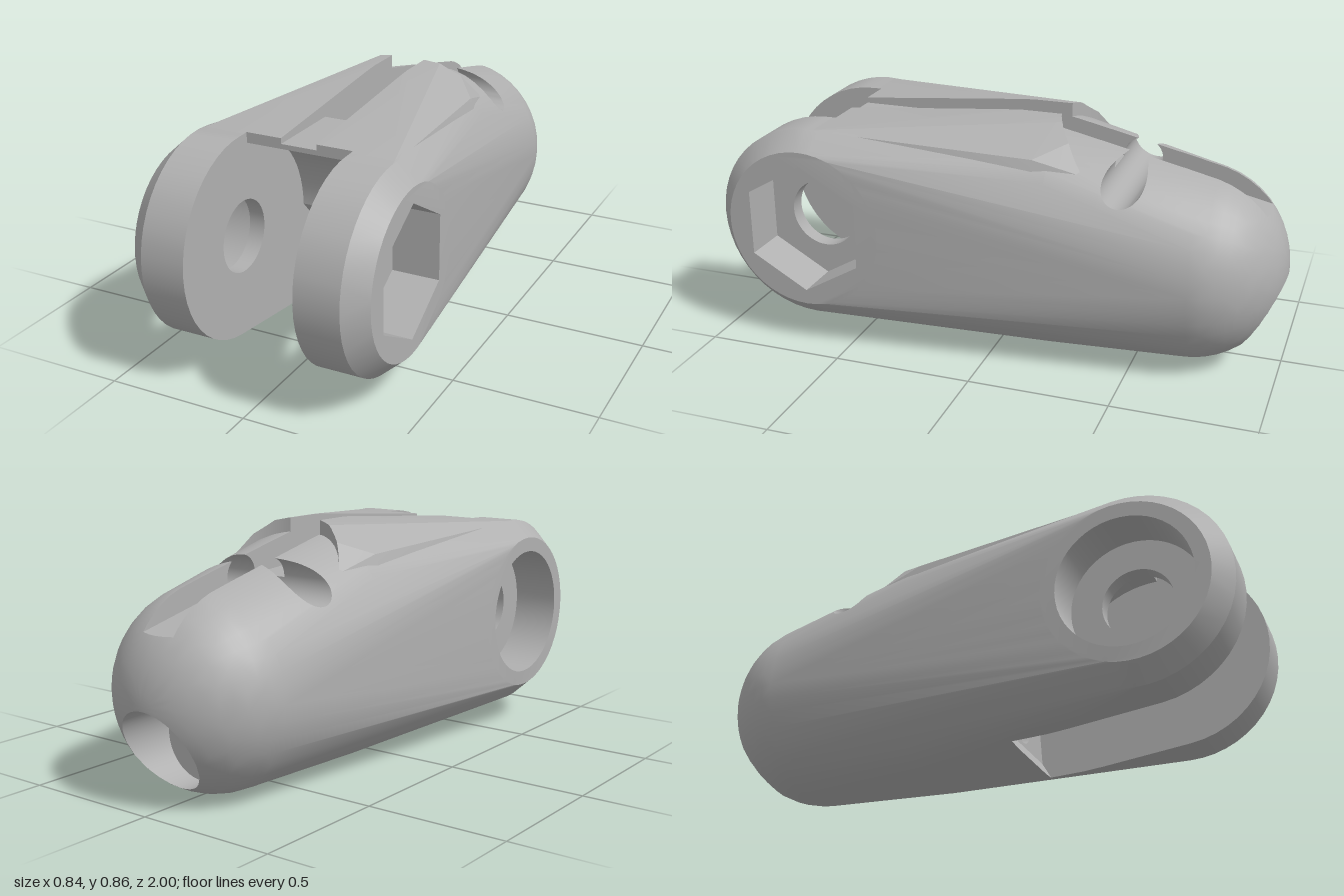
import * as THREE from 'three';
import { toCreasedNormals } from 'three/addons/utils/BufferGeometryUtils.js';
import { ConvexGeometry } from 'three/addons/geometries/ConvexGeometry.js';

const EPS = 1e-5;
const PIVOT = { y: 0.445, z: 0.65 };

// ---- convex solids: a list of polygons plus the bounding planes ----
function convexSolid(geometry, crease = 0.6) {
  const flat = geometry.index ? geometry.toNonIndexed() : geometry;
  const g = toCreasedNormals(flat, crease);
  const P = g.attributes.position, N = g.attributes.normal;
  const points = [];
  for (let i = 0; i < P.count; i++) points.push(new THREE.Vector3().fromBufferAttribute(P, i));
  const polys = [], planes = [];
  for (let i = 0; i < P.count; i += 3) {
    const tri = new THREE.Triangle(points[i], points[i + 1], points[i + 2]);
    if (tri.getArea() < 1e-8) continue;
    polys.push([0, 1, 2].map(k => ({ p: points[i + k], n: new THREE.Vector3().fromBufferAttribute(N, i + k) })));
    const plane = tri.getPlane(new THREE.Plane());
    const known = planes.some(q => q.normal.dot(plane.normal) > 0.9999999 && Math.abs(q.constant - plane.constant) < EPS);
    if (!known && points.every(p => plane.distanceToPoint(p) < 1e-4)) planes.push(plane);
  }
  return { polys, planes };
}

// Split a polygon by a plane into [outer, inner]
function split(poly, plane, coplanarInside) {
  const d = poly.map(v => plane.distanceToPoint(v.p));
  const lo = Math.min(...d), hi = Math.max(...d);
  if (lo > -EPS && hi < EPS) return coplanarInside ? [null, poly] : [poly, null];
  if (lo > -EPS) return [poly, null];
  if (hi < EPS) return [null, poly];
  const outer = [], inner = [];
  poly.forEach((a, i) => {
    const j = (i + 1) % poly.length, b = poly[j];
    if (d[i] >= 0) outer.push(a);
    if (d[i] <= 0) inner.push(a);
    if (d[i] * d[j] < 0) {
      const t = d[i] / (d[i] - d[j]);
      const v = { p: a.p.clone().lerp(b.p, t), n: a.n.clone().lerp(b.n, t).normalize() };
      outer.push(v);
      inner.push(v);
    }
  });
  return [outer.length > 2 ? outer : null, inner.length > 2 ? inner : null];
}

// The pieces of a polygon outside a convex solid
function outside(poly, solid, coplanarInside) {
  const kept = [];
  let rest = poly;
  for (const plane of solid.planes) {
    const [outer, inner] = split(rest, plane, coplanarInside);
    if (outer) kept.push(outer);
    if (!inner) return [poly];
    rest = inner;
  }
  return kept;
}

// Convex body minus a list of convex cutters
function carve(body, cutters) {
  let result = body.polys;
  for (const c of cutters) result = result.flatMap(p => outside(p, c, false));
  cutters.forEach((cutter, i) => {
    let walls = cutter.polys;
    for (const plane of body.planes) walls = walls.map(p => split(p, plane, false)[1]).filter(Boolean);
    cutters.forEach((other, j) => {
      if (j !== i) walls = walls.flatMap(p => outside(p, other, j < i));
    });
    for (const w of walls) result.push(w.map(v => ({ p: v.p, n: v.n.clone().negate() })).reverse());
  });
  const pos = [], nor = [];
  for (const poly of result) {
    for (let k = 1; k < poly.length - 1; k++) {
      for (const v of [poly[0], poly[k], poly[k + 1]]) {
        pos.push(v.p.x, v.p.y, v.p.z);
        nor.push(v.n.x, v.n.y, v.n.z);
      }
    }
  }
  const g = new THREE.BufferGeometry();
  g.setAttribute('position', new THREE.Float32BufferAttribute(pos, 3));
  g.setAttribute('normal', new THREE.Float32BufferAttribute(nor, 3));
  return g;
}

// ---- cutter helpers ----
function boreX(r, x0, x1, y, z, sides = 48) {
  const g = new THREE.CylinderGeometry(r, r, x1 - x0, sides);
  if (sides === 6) g.rotateY(Math.PI / 6);
  return convexSolid(g.rotateZ(Math.PI / 2).translate((x0 + x1) / 2, y, z));
}
function boreZ(r, z0, z1, y) {
  const g = new THREE.CylinderGeometry(r, r, z1 - z0, 48);
  return convexSolid(g.rotateX(Math.PI / 2).translate(0, y, (z0 + z1) / 2));
}
// Side profile given as [z, y] points, extruded across x
function prism(halfWidth, profile) {
  const shape = new THREE.Shape(profile.map(([z, y]) => new THREE.Vector2(z, y)));
  const g = new THREE.ExtrudeGeometry(shape, { depth: halfWidth * 2, bevelEnabled: false });
  return convexSolid(g.translate(0, 0, -halfWidth).rotateY(-Math.PI / 2), 0.1);
}

// ---- body shapes ----
function mainBody() {
  const pts = [];
  const add = (x, y, z) => pts.push(new THREE.Vector3(x, y, z));
  // chamfered round fork end
  for (const [x, r] of [[0.35, 0.35], [0.42, 0.288]]) {
    for (let i = 0; i < 48; i++) {
      const a = i / 48 * Math.PI * 2;
      for (const s of [-1, 1]) add(s * x, PIVOT.y + r * Math.sin(a), PIVOT.z + r * Math.cos(a));
    }
  }
  // rounded-square middle section
  for (const [z, rx, cy, ry] of [[-0.02, 0.3, 0.4, 0.392], [-0.2, 0.355, 0.405, 0.402]]) {
    for (let i = 0; i < 48; i++) {
      const a = i / 48 * Math.PI * 2, c = Math.cos(a), s = Math.sin(a);
      const f = v => Math.sign(v) * Math.pow(Math.abs(v), 2 / 2.6);
      add(rx * f(c), cy + ry * f(s), z);
    }
  }
  // domed tail
  for (let j = 0; j <= 12; j++) {
    const b = j / 12 * Math.PI / 2;
    for (let i = 0; i < (j === 12 ? 1 : 40); i++) {
      const a = i / 40 * Math.PI * 2;
      add(0.335 * Math.cos(b) * Math.cos(a), 0.35 + 0.35 * Math.cos(b) * Math.sin(a), -0.665 - 0.335 * Math.sin(b));
    }
  }
  return convexSolid(new ConvexGeometry(pts), 0.5);
}

function topRidge() {
  const half = [
    [0.35, 0.793, 0.65], [0.36, 0.5, 0.6],
    [0.07, 0.85, 0.02], [0.07, 0.855, -0.05], [0.07, 0.855, -0.4],
    [0.27, 0.75, -0.15], [0.32, 0.6, -0.15], [0.3, 0.5, -0.15],
    [0.23, 0.68, -0.4], [0.27, 0.5, -0.4],
  ];
  const pts = half.flatMap(([x, y, z]) => [new THREE.Vector3(x, y, z), new THREE.Vector3(-x, y, z)]);
  return convexSolid(new ConvexGeometry(pts), 0.3);
}

export function createModel() {
  const grey = new THREE.MeshStandardMaterial({ color: 0xb0b0b0 });
  grey.name = 'grey';

  const cutters = [
    // fork slot: open front, round clearance, undercut reaching the underside
    prism(0.193, [[0.61, -0.1], [1.1, -0.1], [1.1, 1.1], [0.61, 1.1]]),
    boreX(0.35, -0.193, 0.193, 0.41, 0.61, 64),
    prism(0.193, [[0.26, 0.41], [0.13, 0.27], [0.14, 0.1], [0.18, 0.03], [0.27, -0.1], [1.1, -0.1], [1.1, 0.41]]),
    // pivot hole, nut pocket and bolt head pocket
    boreX(0.125, -0.6, 0.6, PIVOT.y, PIVOT.z),
    boreX(0.235, 0.25, 0.6, PIVOT.y, PIVOT.z, 6),
    boreX(0.235, -0.6, -0.25, PIVOT.y, PIVOT.z),
    // lengthwise bore with wider tail end
    boreZ(0.078, -1.2, 0.5, 0.193),
    boreZ(0.145, -1.2, -0.74, 0.193),
    // cross hole
    boreX(0.07, -0.6, 0.6, 0.685, -0.457),
    // top groove in three runs
    prism(0.065, [[0.8, 0.777], [0.1, 0.777], [0.1, 1.1], [0.8, 1.1]]),
    prism(0.065, [[0.35, 0.7925], [0.21, 0.72], [-0.5, 0.675], [-0.5, 1.1], [0.35, 1.1]]),
    prism(0.065, [[-0.4, 0.681], [-0.95, 0.56], [-0.95, 1.1], [-0.4, 1.1]]),
  ];
  // round relief behind the ridge
  const relief = convexSolid(new THREE.CylinderGeometry(0.285, 0.285, 0.9, 64).translate(0, 0.75, -0.47));

  const group = new THREE.Group();
  group.name = 'forkedLink';
  const body = new THREE.Mesh(carve(mainBody(), cutters), grey);
  body.name = 'body';
  const ridge = new THREE.Mesh(carve(topRidge(), [...cutters, relief]), grey);
  ridge.name = 'topRidge';
  group.add(body, ridge);
  return group;
}
